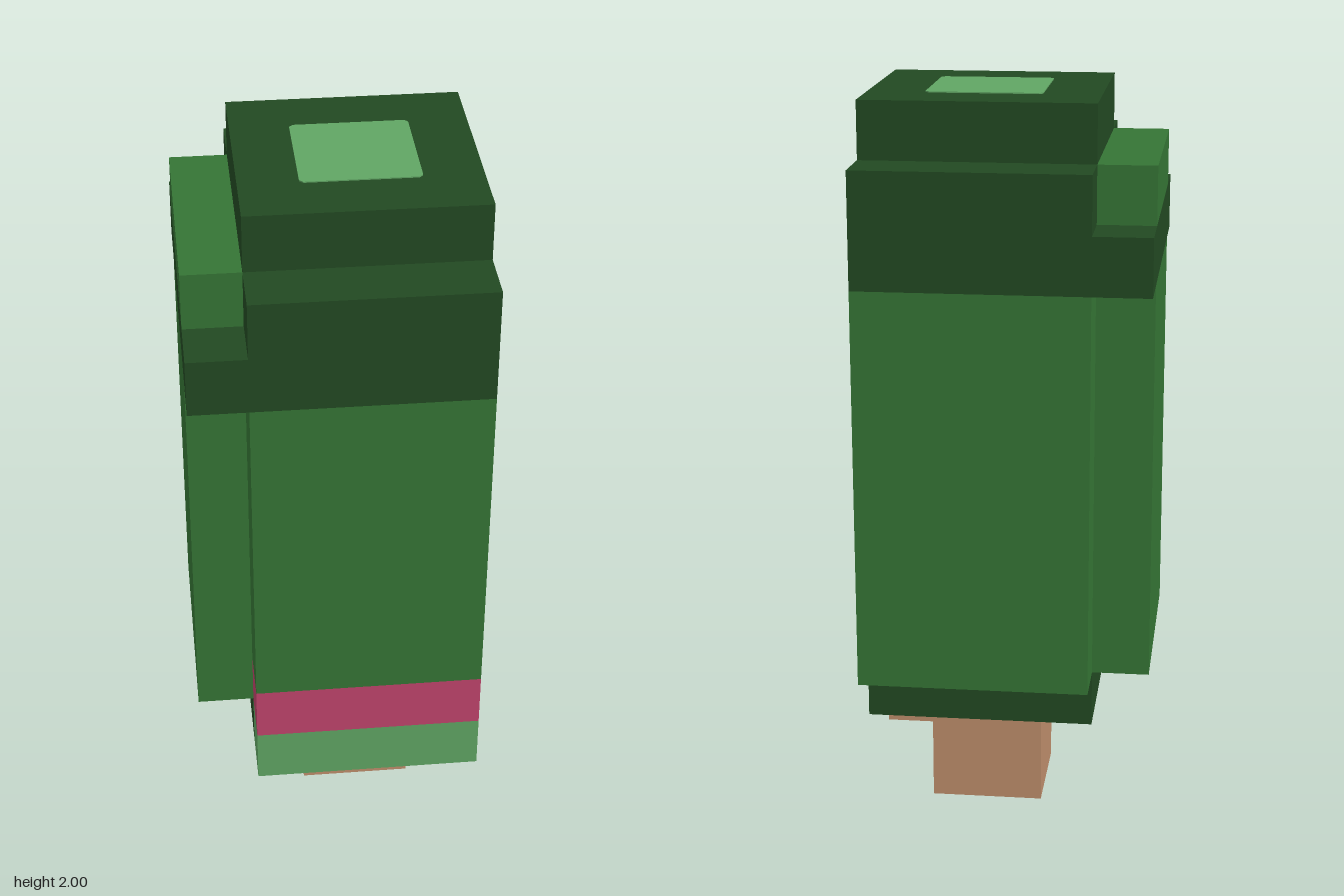
import * as THREE from 'three';

const U = 2 / 13; // one block; the model is 5 x 13 x 6 blocks

const material = (name, color) => {
  const m = new THREE.MeshStandardMaterial({ color });
  m.name = name;
  return m;
};

export function createModel() {
  const darkGreen = material('dark green', 0x224922);
  const green = material('mid green', 0x357535);
  const lightGreen = material('light green', 0x60a563);
  const pink = material('pink', 0xc0446c);
  const tan = material('tan', 0xbe8d6b);

  const model = new THREE.Group();
  model.name = 'blockFigure';

  // Box given by its block ranges, counted from the left, bottom and back
  const block = (name, mat, [x0, x1], [y0, y1], [z0, z1]) => {
    const mesh = new THREE.Mesh(
      new THREE.BoxGeometry((x1 - x0) * U, (y1 - y0) * U, (z1 - z0) * U), mat);
    mesh.position.set(((x0 + x1) / 2 - 2.5) * U, ((y0 + y1) / 2) * U, ((z0 + z1) / 2 - 3) * U);
    mesh.name = name;
    model.add(mesh);
  };

  // Stem with a side stub
  block('stem', tan, [2, 4], [0, 2], [2, 4]);
  block('stemStub', tan, [4, 5], [1, 2], [3, 4]);

  // Underside and front trim
  block('base', darkGreen, [1, 5], [2, 3], [1, 5]);
  block('frontLip', lightGreen, [1, 5], [2, 3], [5, 6]);
  block('frontStripe', pink, [1, 5], [3, 4], [5, 6]);

  // Main body
  block('bodyBottom', green, [1, 5], [3, 4], [0, 5]);
  block('body', green, [1, 5], [4, 10], [0, 6]);

  // Side panel, crossed by a dark band
  block('sidePanel', green, [0, 1], [3, 10], [1, 5]);
  block('sideBand', darkGreen, [0, 1], [10, 11], [0, 6]);
  block('sidePanelTop', green, [0, 1], [11, 12], [1, 5]);

  // Stepped cap
  block('cap', darkGreen, [1, 5], [10, 12], [0, 6]);
  block('capTop', darkGreen, [1, 5], [12, 13], [1, 5]);

  // Thin top patch with clipped corners
  const h = U, c = U - 0.01;
  const outline = new THREE.Shape([
    [-c, -h], [c, -h], [h, -c], [h, c], [c, h], [-c, h], [-h, c], [-h, -c],
  ].map(([x, y]) => new THREE.Vector2(x, y)));
  const patch = new THREE.Mesh(
    new THREE.ExtrudeGeometry(outline, { depth: 0.003, bevelEnabled: false }), lightGreen);
  patch.rotation.x = -Math.PI / 2;
  patch.position.set(U / 2, 2, 0);
  patch.name = 'topPatch';
  model.add(patch);

  return model;
}
